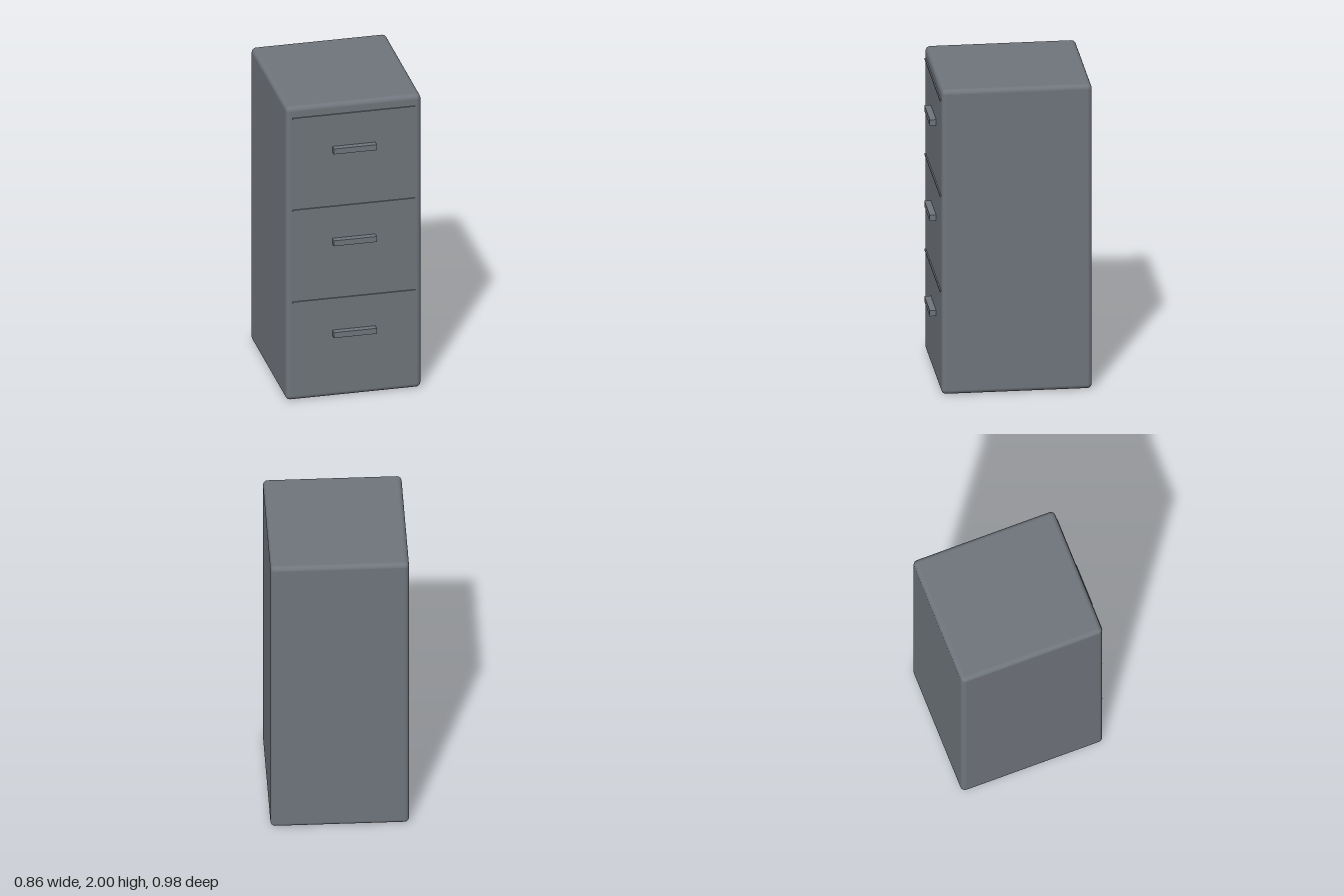
import * as THREE from 'three';
import { RoundedBoxGeometry } from 'three/addons/geometries/RoundedBoxGeometry.js';

export function createModel() {
  const model = new THREE.Group();
  model.name = 'filingCabinet';

  const greyMetal = new THREE.MeshStandardMaterial({ color: 0x6f757c });
  greyMetal.name = 'greyMetal';

  const add = (parent, name, geometry, x, y, z) => {
    const mesh = new THREE.Mesh(geometry, greyMetal);
    mesh.name = name;
    mesh.position.set(x, y, z);
    parent.add(mesh);
  };

  const frontZ = 0.449;

  // Softly rounded cabinet body, set back so the handles reach the front limit
  add(model, 'body', new RoundedBoxGeometry(0.86, 2, 0.938, 5, 0.03), 0, 1, -0.02);

  // Three drawers, each with a thin seam strip above and a bar handle
  const seam = new THREE.BoxGeometry(0.78, 0.01, 0.016);
  const handle = new THREE.BoxGeometry(0.274, 0.037, 0.05);
  for (let i = 0; i < 3; i++) {
    const drawer = new THREE.Group();
    drawer.name = `drawer${i + 1}`;
    drawer.position.y = 0.67 + i * 0.627;
    add(drawer, 'seam', seam, 0, 0, frontZ);
    add(drawer, 'handle', handle, 0, -0.234, frontZ + 0.015);
    model.add(drawer);
  }

  return model;
}
